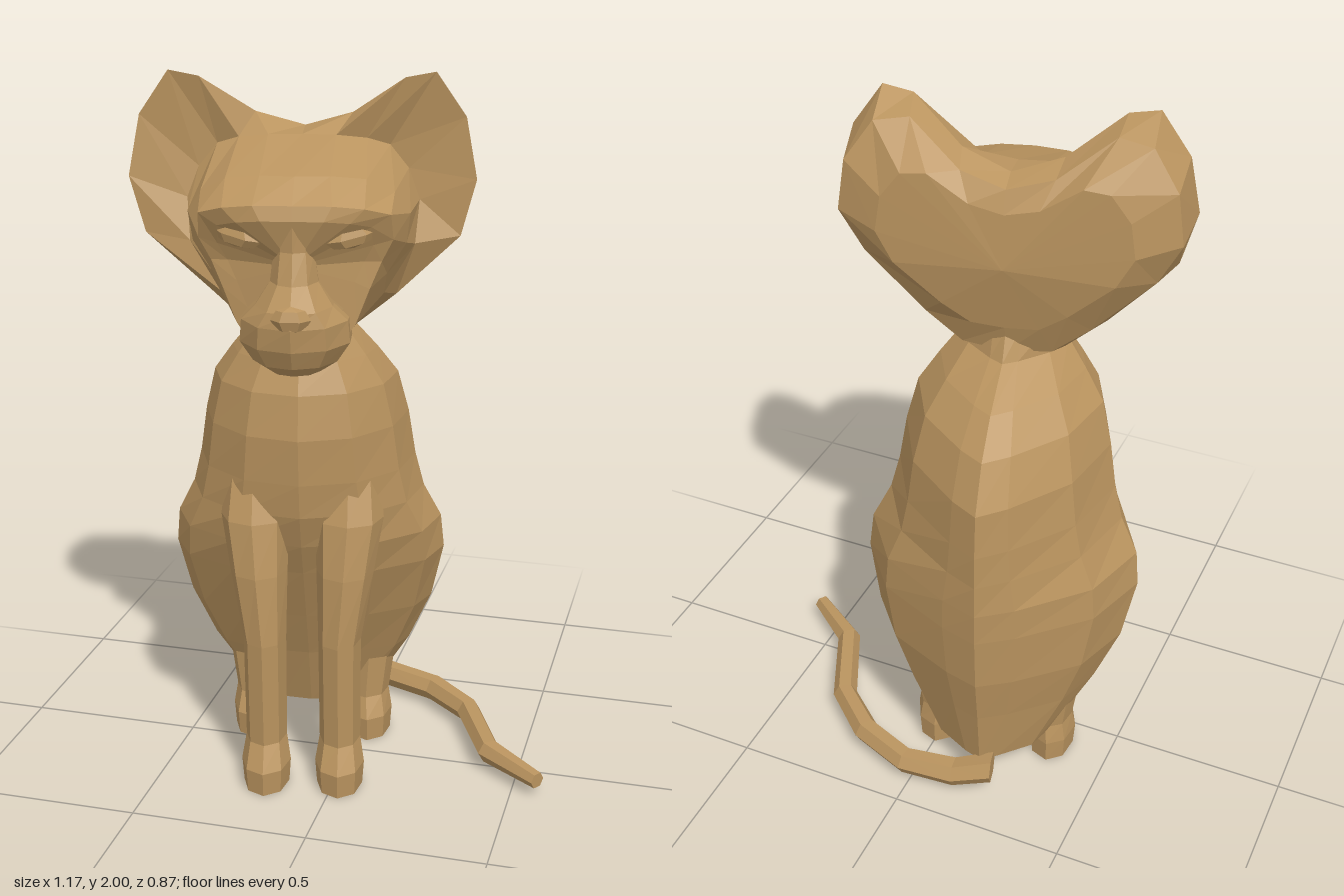
import * as THREE from 'three';

const fur = new THREE.MeshStandardMaterial({ color: 0xba945f });
fur.name = 'tan fur';

// Flat-faced mesh from any geometry
function part(name, geo) {
  const g = geo.index ? geo.toNonIndexed() : geo;
  g.computeVertexNormals();
  const mesh = new THREE.Mesh(g, fur);
  mesh.name = name;
  return mesh;
}

// Skin over closed rings of [x, y, z] points, capped at both ends
function loft(rings, endA, endB) {
  const pos = [], n = rings[0].length, last = rings.length - 1;
  const centre = r => [0, 1, 2].map(c => r.reduce((s, p) => s + p[c], 0) / n);
  const a = endA || centre(rings[0]), b = endB || centre(rings[last]);
  for (let k = 0; k < n; k++) {
    const m = (k + 1) % n;
    for (let i = 0; i < last; i++) {
      const p = rings[i], q = rings[i + 1];
      pos.push(...p[k], ...p[m], ...q[m], ...p[k], ...q[m], ...q[k]);
    }
    pos.push(...a, ...rings[0][m], ...rings[0][k]);
    pos.push(...b, ...rings[last][k], ...rings[last][m]);
  }
  const g = new THREE.BufferGeometry();
  g.setAttribute('position', new THREE.Float32BufferAttribute(pos, 3));
  return g;
}

// Horizontal ring: half-width w, widest at depth cz, reaching zf in front and zb behind;
// backPower above 1 narrows the back towards the spine
function ring(x, y, w, cz, zf, zb, n, backPower = 1) {
  return Array.from({ length: n }, (_, k) => {
    const t = (k / n) * Math.PI * 2, s = Math.sin(t), c = Math.cos(t);
    const reach = Math.sign(s) * Math.abs(s) ** (c < -.01 ? backPower : 1);
    return [x + w * reach, y, cz + c * (c > 0 ? zf - cz : cz - zb)];
  });
}

// Leg from rows of [x, y, z, halfWidth, halfDepth]
function leg(name, side, rows) {
  return part(name, loft(rows.map(([x, y, z, w, d]) => ring(side * x, y, w, z, z + d, z - d, 8))));
}

// Complete a half ring (top centre to bottom centre) by mirroring
function mirrored(half) {
  return [...half, ...half.slice(1, -1).reverse().map(([x, y, z]) => [-x, y, z])];
}

function makeHead() {
  const brow = [[0, 1.7, .345], [.1, 1.7, .345], [.18, 1.69, .325], [.245, 1.67, .29], [.25, 1.6, .26],
    [.22, 1.54, .25], [.19, 1.47, .26], [.155, 1.38, .27], [.1, 1.3, .29], [0, 1.27, .3]];
  const cheek = [[0, 1.76, .27], [.09, 1.76, .26], [.18, 1.75, .24], [.25, 1.71, .2], [.29, 1.65, .17],
    [.28, 1.57, .16], [.23, 1.49, .17], [.17, 1.38, .19], [.1, 1.3, .21], [0, 1.275, .22]];
  const earBowl = [[0, 1.83, .04], [.09, 1.83, .05], [.17, 1.82, .03], [.23, 1.8, .01], [.28, 1.74, .02],
    [.31, 1.66, .04], [.3, 1.55, .08], [.22, 1.42, .1], [.13, 1.32, .11], [0, 1.3, .12]];
  const earRim = [[0, 1.84, -.05], [.13, 1.88, -.02], [.27, 1.98, .05], [.35, 1.995, .05], [.43, 1.88, .05],
    [.46, 1.72, .07], [.42, 1.57, .07], [.25, 1.4, .03], [.14, 1.31, .02], [0, 1.3, .02]];
  const back = [[0, 1.82, -.11], [.12, 1.85, -.09], [.26, 1.95, -.03], [.35, 1.94, -.05], [.42, 1.84, -.08],
    [.44, 1.7, -.08], [.38, 1.58, -.06], [.22, 1.42, -.06], [.12, 1.34, -.06], [0, 1.33, -.07]];
  // Eye sockets sit just inside the brow; a shallow panel closes the back of the skull
  const sockets = brow.map(([x, y, z]) => [x * .8, 1.55 + (y - 1.55) * .75, z + .01]);
  const nape = back.map(([x, y]) => {
    const ny = 1.62 + (y - 1.62) * .7;
    return [x * .75, ny, -.13 + .25 * Math.max(0, 1.55 - ny)];
  });
  const rings = [sockets, brow, cheek, earBowl, earRim, back, nape].map(mirrored);
  return part('headAndEars', loft(rings, [0, 1.54, .32], [0, 1.61, -.14]));
}

export function createModel() {
  const model = new THREE.Group();
  model.name = 'sittingCat';

  // Body and head turn together, slightly to the cat's left
  const cat = new THREE.Group();
  cat.name = 'catFigure';
  cat.rotation.y = .19;
  cat.position.x = -.13;
  model.add(cat);

  // Torso: y, half-width, depth of widest point, front, back
  const torso = [
    [.11, .18, -.18, -.07, -.36], [.3, .29, -.13, 0, -.39], [.45, .355, -.11, .07, -.42],
    [.62, .39, -.08, .15, -.435], [.72, .38, -.07, .2, -.44], [.82, .33, -.05, .24, -.44],
    [.92, .305, -.04, .255, -.44], [1.05, .285, -.03, .265, -.43], [1.17, .255, -.01, .245, -.36],
    [1.25, .2, .02, .21, -.26], [1.32, .145, .05, .175, -.12], [1.4, .14, .03, .16, -.08]];
  cat.add(part('torso', loft(torso.map(([y, w, cz, zf, zb]) => ring(0, y, w, cz, zf, zb, 12, 1.95)))));
  cat.add(makeHead());

  // Muzzle, jaw and nose bridge: y, half-width, widest depth, front
  const muzzle = [[1.262, .07, .28, .36], [1.29, .115, .27, .395], [1.34, .15, .26, .42], [1.4, .145, .26, .43],
    [1.44, .105, .28, .425], [1.5, .065, .28, .375], [1.58, .055, .28, .347], [1.67, .05, .28, .352]];
  cat.add(part('muzzle', loft(muzzle.map(([y, w, cz, zf]) => ring(0, y, w, cz, zf, .15, 10)))));

  // Nose
  const nose = part('nose', new THREE.SphereGeometry(1, 6, 4).scale(.052, .035, .03));
  nose.position.set(0, 1.425, .41);
  cat.add(nose);

  for (const side of [1, -1]) {
    const label = side > 0 ? 'left' : 'right';
    // Front legs blend into the chest at the shoulder
    cat.add(leg(label + 'FrontLeg', side, [
      [.105, 0, .215, .065, .095], [.105, .07, .215, .07, .1], [.105, .14, .195, .058, .08],
      [.105, .45, .2, .06, .085], [.12, .65, .185, .08, .09], [.13, .8, .155, .095, .095],
      [.13, .95, .11, .08, .08]]));
    cat.add(leg(label + 'HindFoot', side, [
      [.17, 0, -.12, .065, .095], [.17, .07, -.12, .07, .1], [.165, .13, -.13, .065, .08],
      [.18, .35, -.14, .08, .09]]));

    // Narrow slanted eyes
    const eye = part(label + 'Eye', new THREE.SphereGeometry(1, 6, 4).scale(.07, .03, .025));
    eye.position.set(side * .145, 1.615, .3);
    eye.rotation.set(0, side * .35, side * .2);
    cat.add(eye);
  }

  // Tail lying on the ground, curling forward: x, y, z, radius
  const path = [[-.24, .1, -.36, .045], [-.13, .06, -.385, .042], [.02, .055, -.398, .038], [.18, .055, -.335, .038],
    [.31, .055, -.22, .036], [.415, .055, .01, .035], [.575, .05, .13, .024]];
  const tail = path.map(([x, y, z, r], i) => {
    const p = path[Math.max(i - 1, 0)], q = path[Math.min(i + 1, path.length - 1)];
    const len = Math.hypot(q[0] - p[0], q[2] - p[2]);
    const sx = (q[2] - p[2]) / len, sz = -(q[0] - p[0]) / len;
    return Array.from({ length: 6 }, (_, k) => {
      const a = (k / 6) * Math.PI * 2, c = r * Math.cos(a);
      return [x + sx * c, y + r * Math.sin(a), z + sz * c];
    });
  });
  model.add(part('tail', loft(tail)));
  return model;
}
